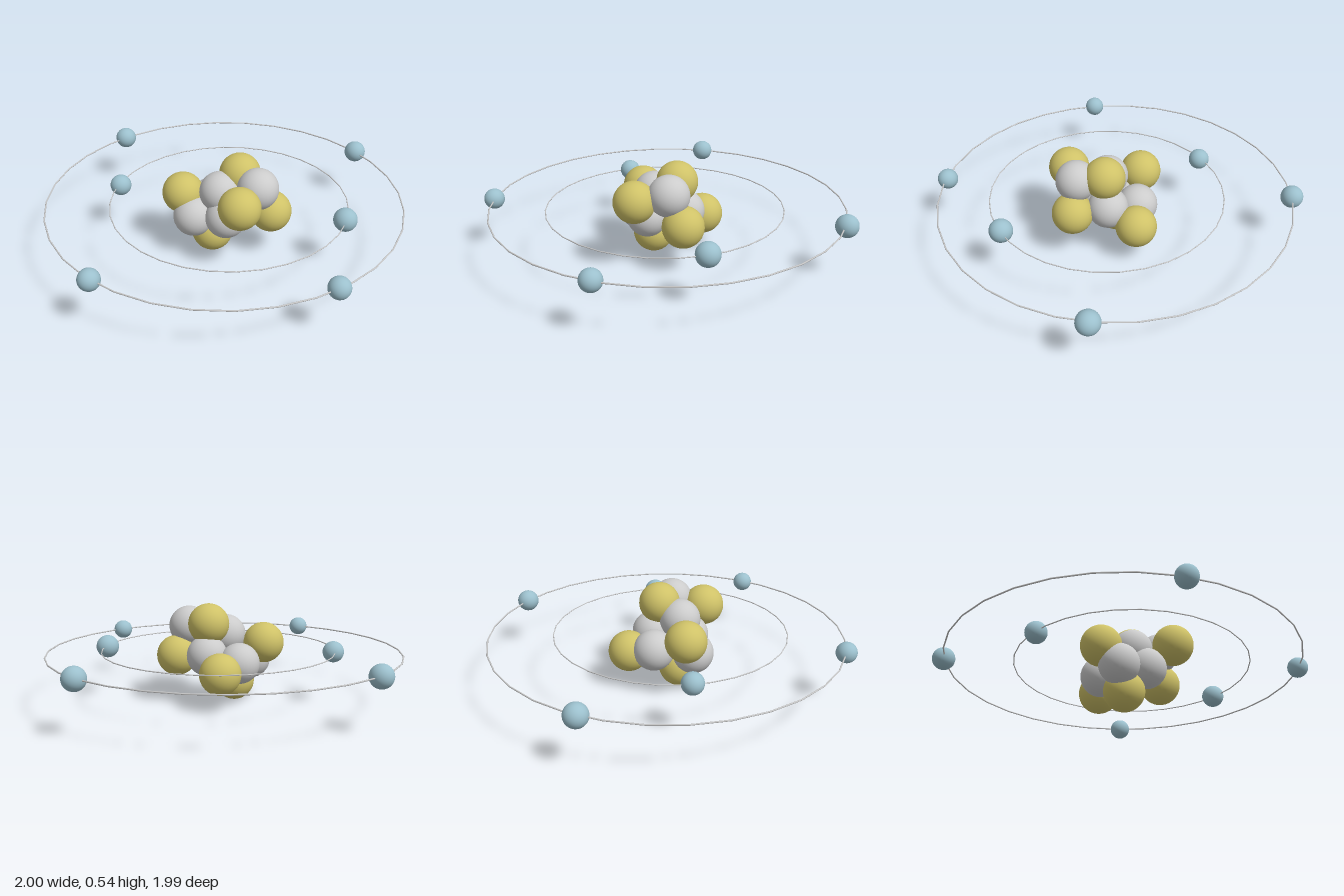
import * as THREE from 'three';

export function createModel() {
  const model = new THREE.Group();
  const orbitY = 0.283;
  const grey = new THREE.MeshStandardMaterial({ color: 0xcccccc });
  const yellow = new THREE.MeshStandardMaterial({ color: 0xcfc268 });
  const blue = new THREE.MeshStandardMaterial({ color: 0x9cc0cd });

  const ball = (parent, name, material, radius, x, y, z) => {
    const mesh = new THREE.Mesh(new THREE.SphereGeometry(radius, 32, 20), material);
    mesh.name = name;
    mesh.position.set(x, y, z);
    parent.add(mesh);
  };

  // Clustered core: six yellow and six grey balls
  const nucleus = new THREE.Group();
  nucleus.name = 'nucleus';
  model.add(nucleus);
  [
    [-0.12, 0.32, 0.19], [0.265, 0.375, 0.107], [0.055, 0.43, -0.057],
    [0.005, 0.11, 0.09], [-0.12, 0.195, -0.15], [0.218, 0.25, -0.138],
  ].forEach((p, i) => ball(nucleus, `proton${i + 1}`, yellow, 0.11, ...p));
  [
    [0.05, 0.36, 0.07], [0.205, 0.405, -0.058], [-0.027, 0.22, 0.187],
    [0.122, 0.245, 0.086], [-0.115, 0.23, 0], [0.035, 0.264, -0.09],
  ].forEach((p, i) => ball(nucleus, `neutron${i + 1}`, grey, 0.109, ...p));

  // Thin orbit rings lying flat
  const orbit = (name, radius, tube, x, z) => {
    const geometry = new THREE.TorusGeometry(radius, tube, 6, 32);
    geometry.rotateX(Math.PI / 2).rotateY(Math.PI / 2);
    const ring = new THREE.Mesh(geometry, grey);
    ring.name = name;
    ring.position.set(x, orbitY, z);
    model.add(ring);
  };
  orbit('outerOrbit', 0.945, 0.004, 0.005, 0.01);
  orbit('innerOrbit', 0.63, 0.003, 0.05, 0.012);

  // Electrons on the orbits: x, z, radius
  const electrons = new THREE.Group();
  electrons.name = 'electrons';
  model.add(electrons);
  [
    [0.04, -0.938, 0.06], [-0.941, 0.066, 0.06], [0.941, 0.066, 0.055],
    [0.221, 0.932, 0.055], [0.553, -0.353, 0.062], [-0.444, 0.386, 0.057],
  ].forEach(([x, z, r], i) => ball(electrons, `electron${i + 1}`, blue, r, x, orbitY, z));

  return model;
}
